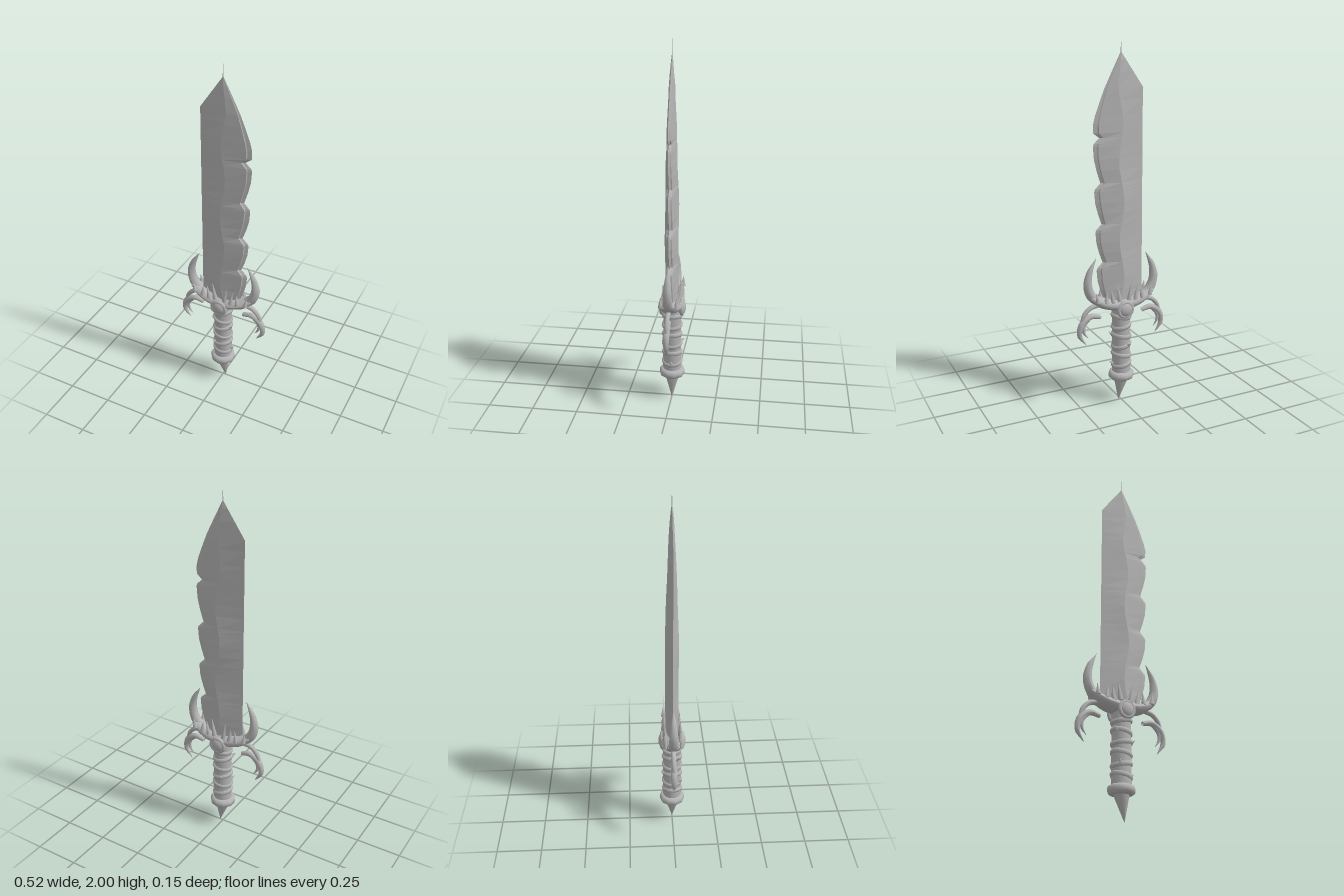
import * as THREE from 'three';

const steel = new THREE.MeshStandardMaterial({ color: 0xb4b4b4, side: THREE.DoubleSide });
steel.name = 'grey steel';

const V = (x, y, z = 0) => new THREE.Vector3(x, y, z);

function add(parent, name, geometry) {
  const mesh = new THREE.Mesh(geometry, steel);
  mesh.name = name;
  parent.add(mesh);
  return mesh;
}

// Curved tube whose radius follows a list of values; zScale flattens or widens it
function taperedTube(points, radii, zScale = 1, n = 20, sides = 10) {
  const curve = new THREE.CatmullRomCurve3(points);
  const geo = new THREE.TubeGeometry(curve, n, 1, sides);
  const pos = geo.attributes.position;
  const v = V(0, 0);
  for (let i = 0; i <= n; i++) {
    const t = (i / n) * (radii.length - 1);
    const k = Math.min(Math.floor(t), radii.length - 2);
    const r = THREE.MathUtils.lerp(radii[k], radii[k + 1], t - k);
    const p = curve.getPointAt(i / n);
    for (let j = 0; j <= sides; j++) {
      const id = i * (sides + 1) + j;
      v.fromBufferAttribute(pos, id).sub(p).multiplyScalar(r);
      v.z *= zScale;
      v.add(p);
      pos.setXYZ(id, v.x, v.y, v.z);
    }
  }
  geo.computeVertexNormals();
  return geo;
}

// Cone standing on a base point and pointing along a direction
function spike(parent, name, base, dir, radius, height, sides = 6) {
  const geo = new THREE.ConeGeometry(radius, height, sides).translate(0, height / 2, 0);
  const mesh = add(parent, name, geo);
  mesh.position.copy(base);
  mesh.quaternion.setFromUnitVectors(V(0, 1), dir.clone().normalize());
}

// Skin of closed cross-sections, flat shaded
function loft(sections) {
  const m = sections[0].length;
  const index = [];
  for (let i = 0; i < sections.length - 1; i++) {
    for (let j = 0; j < m; j++) {
      const a = i * m + j, b = i * m + (j + 1) % m;
      index.push(a, b, b + m, a, b + m, a + m);
    }
  }
  const geo = new THREE.BufferGeometry().setFromPoints(sections.flat());
  geo.setIndex(index);
  const flat = geo.toNonIndexed();
  flat.computeVertexNormals();
  return flat;
}

// Straight back on one side, four-notch cutting edge on the other
function bladeGeometry() {
  const rows = [[0.57, 0.09]];
  const notches = [0.61, 0.82, 1.03, 1.25, 1.49];
  for (let i = 0; i < 4; i++) {
    const y = notches[i], h = notches[i + 1] - y, w = 0.105 + i * 0.005;
    rows.push([y + 0.005, w], [y + h * 0.3, w + 0.021], [y + h * 0.55, w + 0.035],
      [y + h * 0.82, w + 0.04], [y + h * 0.88, w + 0.036]);
  }
  rows.push([1.49, 0.125], [1.515, 0.157], [1.56, 0.158], [1.6, 0.148], [1.68, 0.118],
    [1.74, 0.093], [1.82, 0.053], [1.88, 0.022], [1.92, 0.001]);

  const sections = rows.map(([y, right]) => {
    const tip = THREE.MathUtils.clamp((1.92 - y) / 0.18, 0, 1);
    const left = -0.125 * tip;
    const ridge = (0.012 + 0.014 * Math.sin(y * 15)) * tip;
    const t = 0.037 * Math.pow(THREE.MathUtils.clamp((1.925 - y) / 0.75, 0, 1), 0.6);
    const bevel = ridge + (right - ridge) * 0.83;
    const side = s => [
      V(ridge, y, t * s),
      V(bevel, y, t * 0.42 * s),
      V(bevel + (right - bevel) * 0.15, y, t * 0.24 * s),
    ];
    return [V(left, y), ...side(1), V(right, y), ...side(-1).reverse()];
  });
  return loft(sections);
}

export function createModel() {
  const sword = new THREE.Group();
  sword.name = 'sword';

  // Blade with a hair-thin point
  add(sword, 'blade', bladeGeometry());
  const needle = add(sword, 'bladePoint', new THREE.ConeGeometry(0.003, 0.1, 4));
  needle.position.y = 1.95;

  // Crescent guard
  const guard = new THREE.Group();
  guard.name = 'guard';
  sword.add(guard);
  add(guard, 'guardCrescent', taperedTube(
    [V(-0.185, 0.635), V(-0.1, 0.592), V(0, 0.578), V(0.1, 0.592), V(0.185, 0.635)],
    [0.016, 0.029, 0.034, 0.035, 0.034, 0.029, 0.016], 1.75, 28, 14));

  for (const s of [-1, 1]) {
    // Upswept horns
    add(guard, 'guardHorn', taperedTube(
      [V(s * 0.13, 0.602), V(s * 0.175, 0.64), V(s * 0.197, 0.7), V(s * 0.188, 0.77), V(s * 0.148, 0.85)],
      [0.026, 0.027, 0.023, 0.015, 0.001]));

    // Drooping claws beneath
    add(guard, 'lowerClaw', taperedTube(
      [V(s * 0.125, 0.517), V(s * 0.18, 0.527), V(s * 0.23, 0.495), V(s * 0.248, 0.43), V(s * 0.21, 0.368)],
      [0.012, 0.016, 0.018, 0.013, 0.001]));
    add(guard, 'lowerClawRoot', taperedTube(
      [V(s * 0.14, 0.588), V(s * 0.185, 0.575), V(s * 0.22, 0.54), V(s * 0.238, 0.485)],
      [0.014, 0.013, 0.012, 0.008]));
    add(guard, 'innerClaw', taperedTube(
      [V(s * 0.19, 0.52), V(s * 0.222, 0.48), V(s * 0.222, 0.44), V(s * 0.198, 0.405)],
      [0.012, 0.011, 0.008, 0.001]));

    // Thorns along both faces of the guard
    for (const z of [-1, 1]) {
      [[0.155, 0.615, 0.06], [0.108, 0.605, 0.07], [0.066, 0.6, 0.085], [0.028, 0.605, 0.11]].forEach(([x, y, h], i) => {
        spike(guard, 'guardThorn', V(s * x, y, z * 0.042), V(s * (i === 1 ? -0.1 : 0.15), 1, z * 0.02), 0.014, h);
      });
    }
  }

  // Round bosses on the front and back of the guard
  for (const z of [-1, 1]) {
    const boss = add(guard, 'guardBoss', new THREE.SphereGeometry(1, 18, 12));
    boss.scale.set(0.04, 0.042, 0.024);
    boss.position.set(0, 0.557, z * 0.053);
    const rim = add(guard, 'bossRim', new THREE.TorusGeometry(0.04, 0.011, 8, 20));
    rim.position.set(0, 0.557, z * 0.056);
  }

  // Grip
  const grip = new THREE.Group();
  grip.name = 'grip';
  sword.add(grip);
  add(grip, 'gripCore', new THREE.CylinderGeometry(0.049, 0.052, 0.41, 16).translate(0, 0.365, 0));

  // Slanted wrappings with small thorns
  for (let i = 0; i < 6; i++) {
    const y = 0.225 + i * 0.056;
    const wrap = add(grip, 'gripWrap', new THREE.TorusGeometry(0.05, 0.009, 6, 18));
    wrap.scale.z = 1.5;
    wrap.rotation.set(Math.PI / 2, i % 2 ? 0.16 : -0.22, 0);
    wrap.position.y = y;
    const a = i * 2.2;
    spike(grip, 'gripThorn', V(Math.cos(a) * 0.045, y, Math.sin(a) * 0.045),
      V(Math.cos(a), 0.8, Math.sin(a)), 0.013, 0.033, 5);
  }

  // Pommel ring and off-centre spike
  const ring = [[0, 0.132], [0.055, 0.132], [0.069, 0.142], [0.072, 0.157], [0.069, 0.172], [0.055, 0.182], [0, 0.182]];
  add(sword, 'pommelRing', new THREE.LatheGeometry(ring.map(p => new THREE.Vector2(...p)), 10));
  spike(sword, 'pommelSpike', V(0, 0.14), V(0.018, -0.14), 0.043, 0.141, 10);

  return sword;
}
